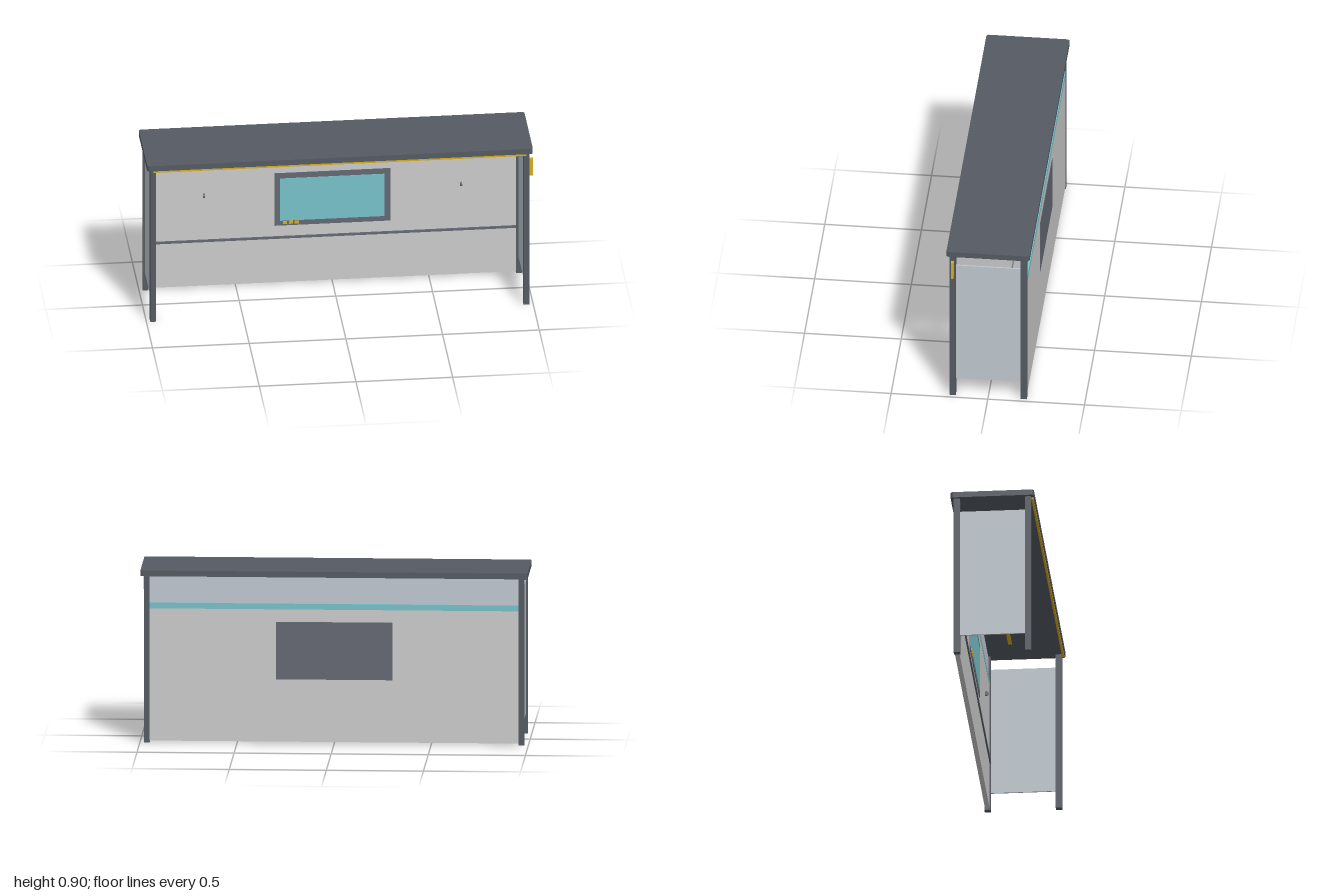
import * as THREE from 'three';

const mat = (color) => new THREE.MeshStandardMaterial({ color });

export function createModel() {
  const model = new THREE.Group();
  const dark = mat(0x555a62), bezel = mat(0x646873), wall = mat(0xcccccc);
  const glass = mat(0xc0c8d0), teal = mat(0x76c1c9), yellow = mat(0xdaaf1e);

  const add = (name, geometry, material) => {
    const mesh = new THREE.Mesh(geometry, material);
    mesh.name = name;
    model.add(mesh);
    return mesh;
  };
  // Box given by its extents on each axis
  const box = (name, material, [x0, x1], [y0, y1], [z0, z1]) =>
    add(name, new THREE.BoxGeometry(x1 - x0, y1 - y0, z1 - z0), material)
      .position.set((x0 + x1) / 2, (y0 + y1) / 2, (z0 + z1) / 2);

  // Roof slab with softened corners
  const w = 0.997, d = 0.215, r = 0.014;
  const plan = new THREE.Shape();
  plan.absarc(w - r, d - r, r, 0, Math.PI / 2);
  plan.absarc(-w + r, d - r, r, Math.PI / 2, Math.PI);
  plan.absarc(-w + r, -d + r, r, Math.PI, Math.PI * 1.5);
  plan.absarc(w - r, -d + r, r, Math.PI * 1.5, Math.PI * 2);
  const roof = new THREE.ExtrudeGeometry(plan, { depth: 0.03, bevelEnabled: false, curveSegments: 6 });
  roof.rotateX(-Math.PI / 2).translate(0, 0.87, 0);
  add('roof', roof, dark);

  // Posts, side panels and wall hooks, mirrored
  for (const s of [-1, 1]) {
    const side = s > 0 ? 'left' : 'right';
    const span = (a, b) => (s > 0 ? [a, b] : [-b, -a]);
    box(side + 'FrontPost', dark, span(0.95, 0.98), [0, 0.87], [0.168, 0.2]);
    box(side + 'BackPost', dark, span(0.95, 0.98), [0, 0.87], [-0.2, -0.168]);
    box(side + 'SidePanel', glass, span(0.961, 0.969), [0.1, 0.8], [-0.168, 0.168]);
    const hook = new THREE.CylinderGeometry(0.011, 0.011, 0.01, 16).rotateZ(Math.PI / 2);
    add(side + 'Hook', hook, bezel).position.set(s * 0.665, 0.528, -0.166);
  }

  // Back wall: solid panel, coloured band, clerestory glass, rail
  box('backWall', wall, [-0.95, 0.95], [0.01, 0.7], [-0.197, -0.173]);
  box('wallBand', teal, [-0.95, 0.95], [0.7, 0.73], [-0.198, -0.172]);
  box('upperGlass', glass, [-0.95, 0.95], [0.73, 0.87], [-0.188, -0.18]);
  box('wallRail', bezel, [-0.95, 0.95], [0.262, 0.274], [-0.175, -0.165]);

  // Display with housing through the wall
  box('displayHousing', bezel, [-0.3, 0.3], [0.335, 0.635], [-0.199, -0.17]);
  box('displayScreen', teal, [-0.27, 0.27], [0.363, 0.605], [-0.175, -0.168]);
  for (let i = 0; i < 3; i++) {
    const x = -0.245 + i * 0.03;
    box('displayButton' + (i + 1), yellow, [x - 0.011, x + 0.011], [0.345, 0.36], [-0.172, -0.165]);
  }

  // Light strips under the roof and a side marker
  box('frontLightStrip', yellow, [-0.965, 0.965], [0.859, 0.87], [0.2, 0.211]);
  box('ceilingLight', yellow, [-0.8, 0.8], [0.864, 0.87], [-0.065, -0.046]);
  box('sideMarker', yellow, [0.98, 1.0], [0.735, 0.833], [0.178, 0.191]);

  return model;
}
